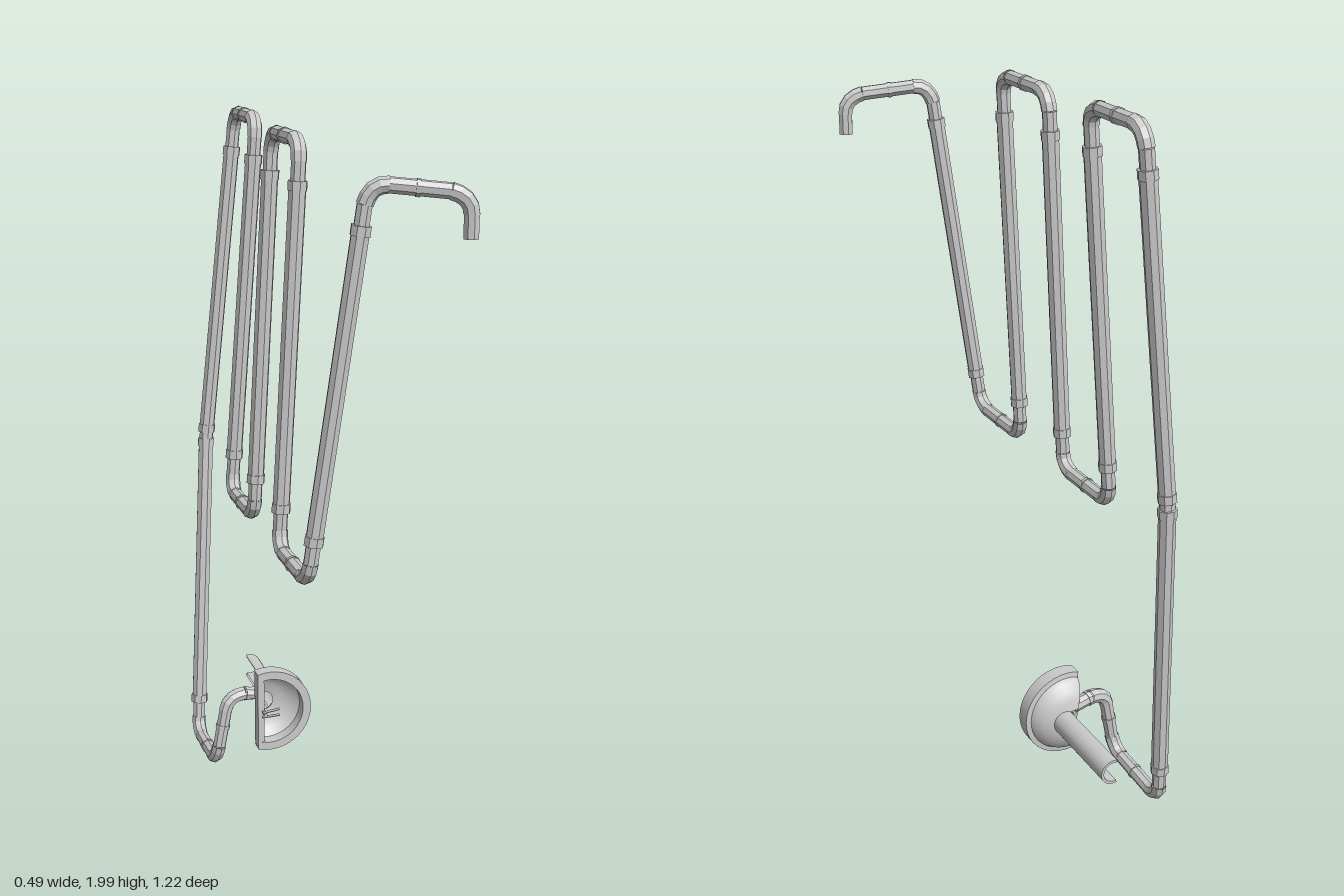
import * as THREE from 'three';

const V = (x, y, z) => new THREE.Vector3(x, y, z);
const UP = V(0, 1, 0);

export function createModel() {
  const group = new THREE.Group();
  const flat = new THREE.MeshStandardMaterial({ color: 0xcccccc, flatShading: true, side: THREE.DoubleSide });
  const smooth = new THREE.MeshStandardMaterial({ color: 0xcccccc, side: THREE.DoubleSide });

  const add = (parent, name, geometry, material = flat) => {
    const mesh = new THREE.Mesh(geometry, material);
    mesh.name = name;
    parent.add(mesh);
    return mesh;
  };

  // Straight rod between two points
  const rod = (parent, name, a, b, radius, sides = 8) => {
    const mesh = add(parent, name, new THREE.CylinderGeometry(radius, radius, a.distanceTo(b), sides));
    mesh.position.lerpVectors(a, b, 0.5);
    mesh.quaternion.setFromUnitVectors(UP, b.clone().sub(a).normalize());
    return mesh;
  };

  // Corners of the serpentine pipe, from the free hook to the drain
  const corners = [
    V(0.225, 1.76, 0.585), V(0.225, 1.868, 0.585), V(-0.012, 1.892, 0.52),
    V(-0.145, 0.893, 0.475), V(-0.145, 0.893, 0.203),
    V(-0.085, 1.965, 0.203), V(-0.085, 1.965, -0.062),
    V(-0.145, 0.897, -0.062), V(-0.145, 0.897, -0.322),
    V(-0.06, 1.98, -0.322), V(-0.055, 1.98, -0.585),
    V(-0.162, 1.0, -0.583), V(-0.223, 0.028, -0.51),
    V(-0.223, 0.045, -0.255), V(-0.18, 0.262, -0.262), V(-0.075, 0.245, -0.275),
  ];
  const pipe = new THREE.Group();
  pipe.name = 'serpentinePipe';
  group.add(pipe);

  const last = corners.length - 1;
  const cut = 0.05;
  const toward = (a, b, d) => a.clone().add(b.clone().sub(a).setLength(d));

  for (let i = 0; i < last; i++) {
    const p = corners[i], q = corners[i + 1];
    const a = i === 0 ? p : toward(p, q, cut);
    const b = i === last - 1 ? q : toward(q, p, cut);
    rod(pipe, 'pipeRun', a, b, 0.02);

    // Long runs carry a thicker sleeve with a collar at each end
    if (p.distanceTo(q) > 0.5) {
      const s = toward(p, q, i === 11 ? 0.01 : 0.1);
      const e = toward(q, p, i === 10 ? 0.01 : 0.1);
      rod(pipe, 'pipeSleeve', s, e, 0.0235);
      rod(pipe, 'collar', s, toward(s, e, 0.025), 0.026);
      rod(pipe, 'collar', e, toward(e, s, 0.025), 0.026);
    } else if (i > 0) {
      // Short runs have one thin joint in the middle
      const m = p.clone().lerp(q, 0.5);
      rod(pipe, 'joint', m, toward(m, q, 0.01), 0.0225);
    }

    // Rounded bend into the next run
    if (i < last - 1) {
      const c = toward(q, corners[i + 2], cut);
      const bend = new THREE.QuadraticBezierCurve3(b, toward(q, p, 0.008), c);
      add(pipe, 'bend', new THREE.TubeGeometry(bend, 4, 0.0215, 8));
    }
  }

  // Half-cut drain: a hollow flanged dish, open toward -x
  const drain = new THREE.Group();
  drain.name = 'drain';
  drain.position.set(-0.063, 0.212, -0.207);
  group.add(drain);

  const halfLathe = (name, points, over) => {
    const geo = new THREE.LatheGeometry(
      points.map(([r, h]) => new THREE.Vector2(r, h)), 24, -over, Math.PI + 2 * over);
    geo.rotateX(-Math.PI / 2);
    return add(drain, name, geo, smooth);
  };
  halfLathe('flangeRim', [[0.105, 0.04], [0.105, 0], [0.105, 0], [0.13, 0], [0.13, 0],
    [0.13, 0.042], [0.13, 0.042], [0.115, 0.044]], 0.3);
  halfLathe('dishOuter', [[0.115, 0.044], [0.108, 0.058], [0.09, 0.075], [0.065, 0.087], [0.035, 0.093]], 0.3);
  halfLathe('dishInner', [[0.105, 0.04], [0.085, 0.062], [0.06, 0.075], [0.03, 0.081]], 0.3);

  // Outlet tube, a half shell running backward
  const outlet = halfLathe('outletTube', [[0.037, 0.08], [0.037, 0.358], [0.037, 0.358],
    [0.029, 0.358], [0.029, 0.358], [0.029, 0.08]], 0.3);
  outlet.position.x = 0.026;

  // Upright bar on the cut side of the dish
  const bar = add(drain, 'cutBar', new THREE.BoxGeometry(0.02, 0.24, 0.04));
  bar.position.set(-0.028, 0, 0.0 - 0.021);

  // Small two-pronged clip in front of the dish
  for (const y of [-0.006, 0.008]) {
    rod(drain, 'clipProng', V(-0.03, y, 0.022), V(0.025, y * 1.4, 0.014), 0.004, 6);
  }
  rod(drain, 'clipStem', V(-0.02, 0, 0.025), V(-0.02, 0, -0.06), 0.006, 6);

  return group;
}
